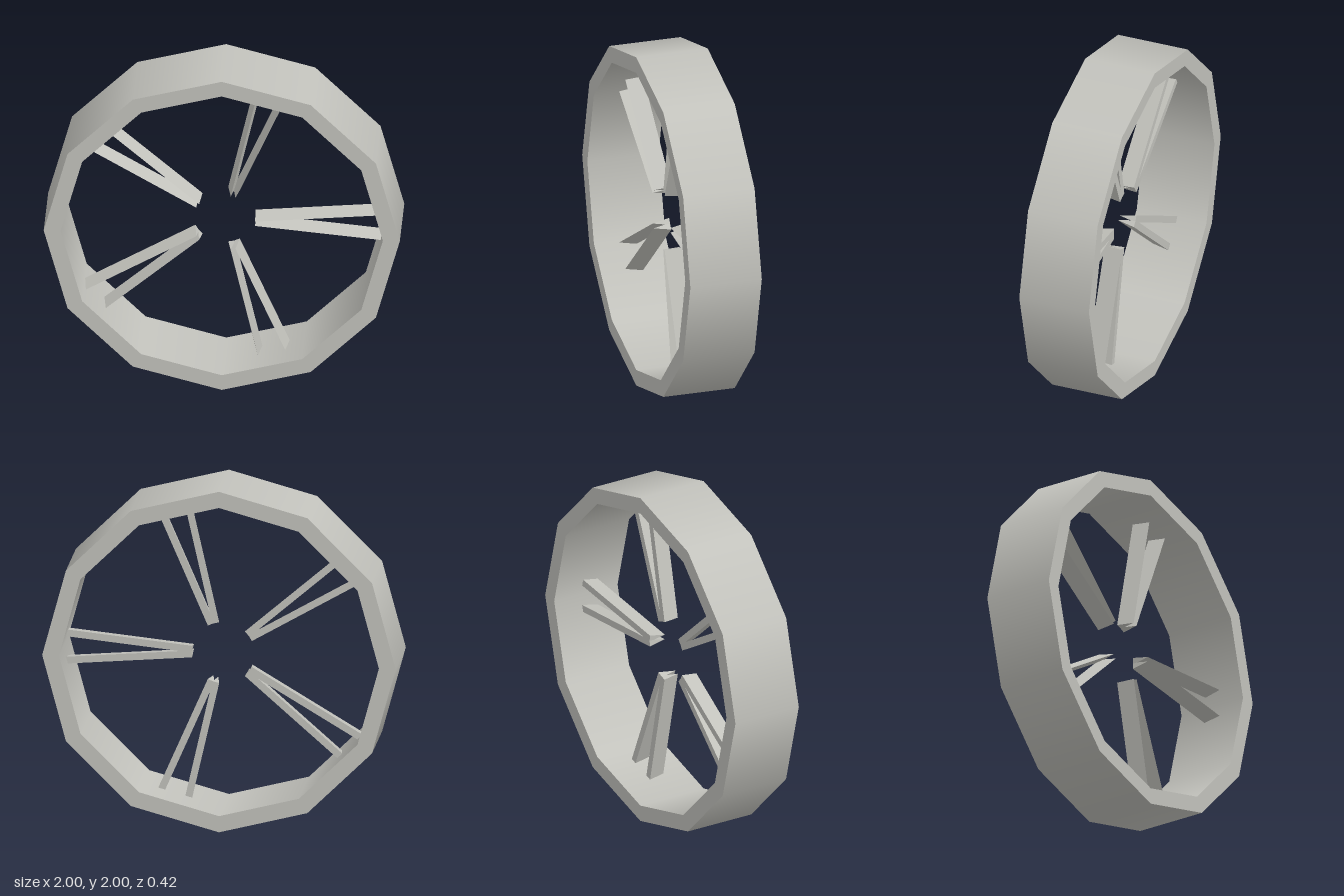
import * as THREE from 'three';
import { mergeGeometries } from 'three/addons/utils/BufferGeometryUtils.js';

export function createModel() {
  const model = new THREE.Group();
  model.name = 'wheel';
  const grey = new THREE.MeshStandardMaterial({ color: 0xc2c2bc });
  grey.name = 'warm grey';

  // Twelve-sided rim: each side of its section is its own lathe, so corners stay sharp
  const outer = 1, inner = 0.905, half = 0.21;
  const section = [[outer, -half], [outer, half], [inner, half], [inner, -half]]
    .map(([r, y]) => new THREE.Vector2(r, y));
  const rimGeometry = mergeGeometries(section.map((p, i) =>
    new THREE.LatheGeometry([p, section[(i + 1) % section.length]], 12)));
  rimGeometry.rotateX(Math.PI / 2);
  const rim = new THREE.Mesh(rimGeometry, grey);
  rim.name = 'rim';
  rim.position.y = 1;
  model.add(rim);

  // Three-sided spoke bar running along +x, ridge to the front, flat side to the back
  const hub = new THREE.Vector2(0.178, 0.014);
  const end = new THREE.Vector2(0.895, 0.081);
  const triangle = new THREE.Shape([[-0.02, -0.035], [0.02, -0.035], [0, 0.065]]
    .map(([x, y]) => new THREE.Vector2(x, y)));
  const bar = new THREE.ExtrudeGeometry(triangle, { depth: hub.distanceTo(end), bevelEnabled: false });
  bar.applyMatrix4(new THREE.Matrix4().makeBasis(
    new THREE.Vector3(0, 1, 0), new THREE.Vector3(0, 0, 1), new THREE.Vector3(1, 0, 0)));
  const tilt = Math.atan2(end.y - hub.y, end.x - hub.x);

  // Five V-shaped pairs of spokes
  for (let i = 0; i < 5; i++) {
    const pair = new THREE.Group();
    pair.name = `spokePair${i + 1}`;
    pair.position.y = 1;
    pair.rotation.z = i * Math.PI * 2 / 5;
    for (const side of [1, -1]) {
      const spoke = new THREE.Mesh(bar, grey);
      spoke.name = side > 0 ? 'upperSpoke' : 'lowerSpoke';
      spoke.position.set(hub.x, side * hub.y, 0);
      spoke.rotation.z = side * tilt;
      pair.add(spoke);
    }
    model.add(pair);
  }
  return model;
}
